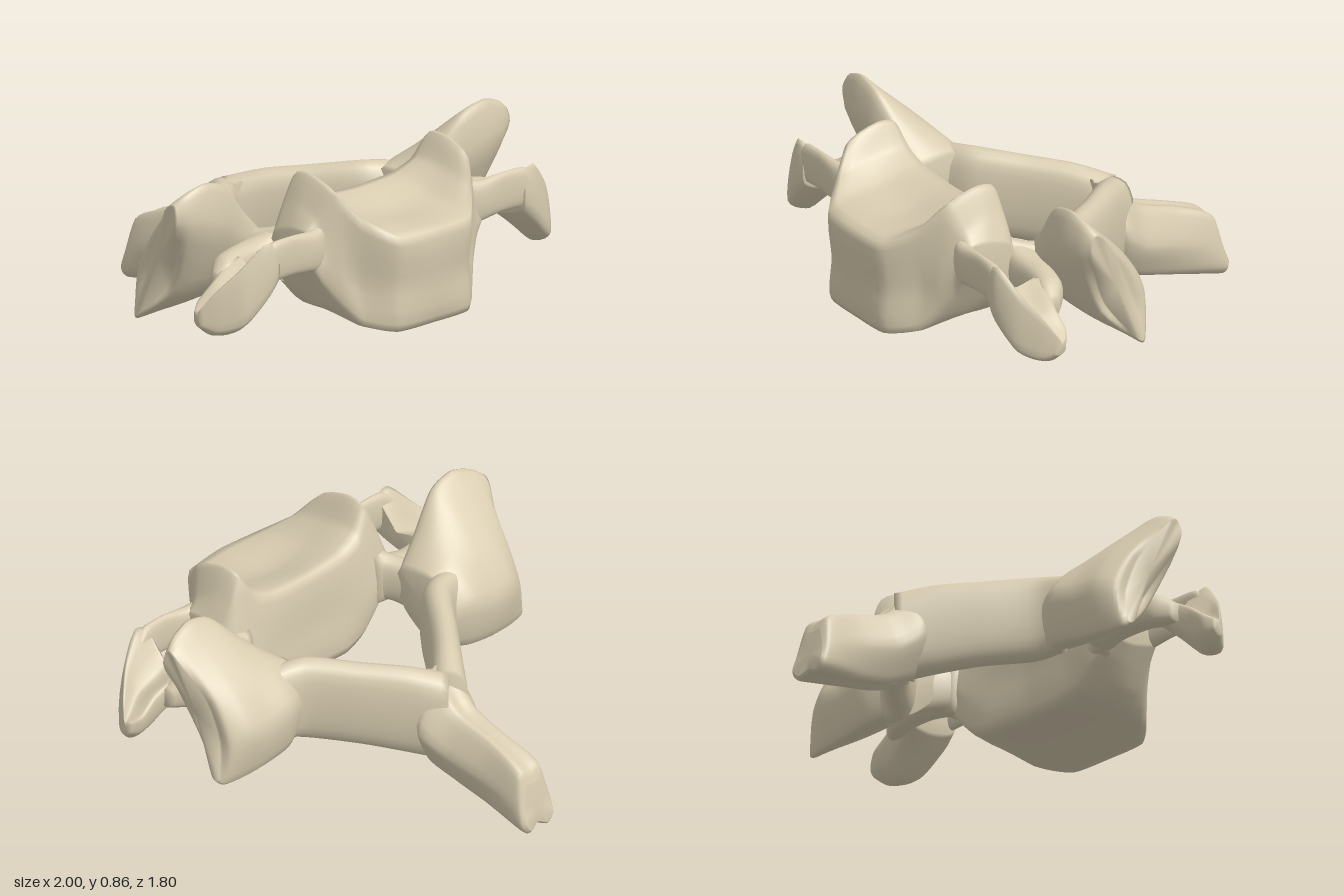
import * as THREE from 'three';

const bone = new THREE.MeshStandardMaterial({ color: 0xd8ccb0 });
bone.name = 'bone';

const V = (x, y, z) => new THREE.Vector3(x, y, z);

// Smooth closed skin through rings of points, with both ends capped.
function loft(rings, around = 4, along = 5, tension = 0.4) {
  const n = rings[0].length * around;
  const smooth = rings.map((r) =>
    new THREE.CatmullRomCurve3(r, true, 'catmullrom', tension).getPoints(n).slice(0, n));
  const rows = (rings.length - 1) * along + 1;
  const columns = [];
  for (let j = 0; j < n; j++) {
    columns.push(new THREE.CatmullRomCurve3(smooth.map((s) => s[j]), false, 'catmullrom', tension)
      .getPoints(rows - 1));
  }
  const pts = [];
  for (let i = 0; i < rows; i++) for (let j = 0; j < n; j++) pts.push(columns[j][i]);
  const index = [];
  for (let i = 0; i < rows - 1; i++) {
    for (let j = 0; j < n; j++) {
      const a = i * n + j, b = i * n + (j + 1) % n;
      index.push(a, b, a + n, b, b + n, a + n);
    }
  }
  for (const row of [0, rows - 1]) {
    const c = V(0, 0, 0);
    for (let j = 0; j < n; j++) c.addScaledVector(pts[row * n + j], 1 / n);
    const k = pts.push(c) - 1;
    for (let j = 0; j < n; j++) {
      const a = row * n + j, b = row * n + (j + 1) % n;
      if (row) index.push(a, b, k); else index.push(b, a, k);
    }
  }
  // Turn the skin outwards if its enclosed volume is negative.
  let volume = 0;
  const t = V(0, 0, 0);
  for (let i = 0; i < index.length; i += 3) {
    volume += pts[index[i]].dot(t.crossVectors(pts[index[i + 1]], pts[index[i + 2]]));
  }
  if (volume < 0) index.reverse();
  const g = new THREE.BufferGeometry().setFromPoints(pts);
  g.setIndex(index);
  g.computeVertexNormals();
  return g;
}

// Ring across the x axis from [z, y, dx] points.
const slice = (x, points) => points.map(([z, y, dx = 0]) => V(x + dx, y, z));

// Rounded ring about a centre; side is its horizontal half-axis, h its half-height.
function oval(c, side, h) {
  const ring = [];
  for (let i = 0; i < 12; i++) {
    const a = (i / 12) * Math.PI * 2;
    const p = (v) => Math.sign(v) * Math.pow(Math.abs(v), 0.8);
    ring.push(c.clone().addScaledVector(side, p(Math.cos(a))).add(V(0, h * p(Math.sin(a)), 0)));
  }
  return ring;
}

const mirrored = (rings, s) => rings.map((r) => r.map((p) => V(p.x * s, p.y, p.z)));

export function createModel() {
  const model = new THREE.Group();
  model.name = 'vertebra';
  const add = (name, rings, ...opts) => {
    const mesh = new THREE.Mesh(loft(rings, ...opts), bone);
    mesh.name = name;
    model.add(mesh);
  };
  const addPair = (name, rings, ...opts) => {
    add('left' + name, rings, ...opts);
    add('right' + name, mirrored(rings, -1), ...opts);
  };

  // Body with saddle-shaped top and a raised lip on each side
  const half = [
    slice(0, [[.87, .21], [.89, .4], [.89, .62], [.62, .63], [.40, .69], [.38, .45], [.38, .24], [.6, .24]]),
    slice(0.2, [[.86, .21], [.86, .4], [.87, .62], [.62, .66], [.40, .70], [.37, .45], [.37, .24], [.6, .24]]),
    slice(0.31, [[.77, .24], [.75, .42], [.77, .69], [.6, .74], [.41, .74], [.36, .45], [.38, .27], [.58, .26]]),
    slice(0.38, [[.70, .33], [.71, .47], [.68, .79], [.53, .86], [.43, .83], [.36, .5], [.38, .34], [.55, .3]]),
    slice(0.44, [[.66, .42], [.67, .52], [.63, .69], [.52, .74], [.42, .71], [.37, .52], [.39, .4], [.53, .38]]),
    slice(0.49, [[.65, .5], [.66, .56], [.62, .64], [.53, .64], [.43, .61], [.39, .52], [.40, .46], [.52, .46]]),
  ];
  add('body', [...mirrored(half.slice(1), -1).reverse(), ...half], 4, 5, 0.3);

  // Slanted joint pillars
  addPair('JointPillar', [
    slice(0.43, [[.28, .57], [.2, .59], [.09, .59], [.02, .45], [.05, .3], [.15, .32], [.25, .4], [.3, .5]]),
    slice(0.55, [[.31, .68], [.22, .69], [.08, .62], [-.03, .48], [.0, .28], [.1, .28], [.25, .38], [.33, .54]]),
    slice(0.68, [[.34, .82], [.26, .79], [.08, .63], [-.03, .45], [.0, .26], [.08, .26], [.25, .38], [.36, .62]]),
    slice(0.8, [[.34, .86], [.27, .81], [.08, .62], [-.02, .45], [.01, .25], [.08, .26], [.24, .38], [.37, .66]]),
    slice(0.9, [[.33, .83], [.26, .79], [.1, .6, -.02], [.02, .42, -.02], [.03, .25], [.08, .26], [.22, .4, -.04], [.35, .68]]),
    slice(0.955, [[.31, .79], [.26, .77], [.15, .6, -.06], [.08, .42, -.07], [.05, .27, -.03], [.09, .28, -.03], [.2, .44, -.1], [.32, .7]]),
  ]);

  // Pedicles joining the body to the pillars
  addPair('Pedicle', [
    oval(V(.40, .5, .43), V(.07, 0, 0), .13),
    oval(V(.46, .5, .34), V(.06, 0, 0), .1),
    oval(V(.50, .48, .24), V(.06, 0, 0), .11),
    oval(V(.53, .47, .14), V(.07, 0, 0), .13),
  ], 2);

  // Front and back bars around the side openings
  addPair('FrontBar', [
    oval(V(.38, .57, .60), V(0, 0, .05), .12),
    oval(V(.47, .57, .635), V(0, 0, .04), .09),
    oval(V(.60, .585, .65), V(0, 0, .023), .085),
    oval(V(.72, .58, .65), V(0, 0, .028), .085),
    oval(V(.78, .55, .64), V(0, 0, .03), .07),
  ], 2);
  addPair('BackBar', [
    oval(V(.38, .5, .40), V(0, 0, .05), .12),
    oval(V(.55, .49, .36), V(0, 0, .07), .085),
    oval(V(.68, .49, .38), V(0, 0, .06), .075),
    oval(V(.76, .48, .40), V(0, 0, .06), .07),
    oval(V(.83, .46, .43), V(0, 0, .03), .04),
  ], 2);

  // Grooved side processes sloping down to their tips
  addPair('SideProcess', [
    slice(0.70, [[.66, .65], [.55, .53], [.43, .55], [.42, .46], [.54, .45], [.67, .5]]),
    slice(0.77, [[.66, .67], [.55, .5], [.43, .53], [.44, .42], [.55, .38], [.68, .44]]),
    slice(0.87, [[.62, .57], [.55, .46], [.45, .48], [.46, .36], [.54, .29], [.65, .35]]),
    slice(0.95, [[.56, .48], [.52, .42], [.45, .42], [.46, .34], [.52, .29], [.58, .32]]),
    slice(1.0, [[.51, .40], [.5, .39], [.48, .39], [.48, .35], [.5, .33], [.52, .34]]),
  ], 5);

  // Plates of the rear arch: [x, z, half-thickness, top, bottom]
  addPair('ArchPlate', [
    [.52, .1, .09, .61, .28],
    [.40, .04, .075, .625, .25],
    [.25, -.13, .07, .6, .22],
    [.12, -.27, .075, .58, .18],
    [0, -.39, .09, .54, .14],
  ].map(([x, z, t, top, bottom]) =>
    oval(V(x, (top + bottom) / 2, z), V(.75 * t, 0, -.66 * t), (top - bottom) / 2)), 2);

  // Rear spine: [z, top, bottom, half-widths at top, middle and bottom, backward lean]
  add('rearSpine', [
    [-.29, .54, .17, .03, .05, .03, 0],
    [-.36, .53, .14, .07, .16, .1, 0],
    [-.48, .41, .09, .06, .125, .08, 0],
    [-.65, .355, .05, .05, .1, .075, 0],
    [-.78, .31, .02, .06, .095, .09, .02],
    [-.84, .275, .005, .06, .09, .095, .04],
    [-.865, .22, .02, .04, .07, .08, .035],
  ].map(([z, top, bottom, a, b, c, lean]) => {
    const mid = (top + bottom) / 2;
    return [
      V(0, top - .01, z), V(a, top - .01, z), V(b, mid, z - lean / 2), V(c, bottom + .04, z - lean),
      V(c * .6, bottom, z - lean), V(0, bottom + .02, z - lean * .7), V(-c * .6, bottom, z - lean),
      V(-c, bottom + .04, z - lean), V(-b, mid, z - lean / 2), V(-a, top - .01, z),
    ];
  }));

  return model;
}
